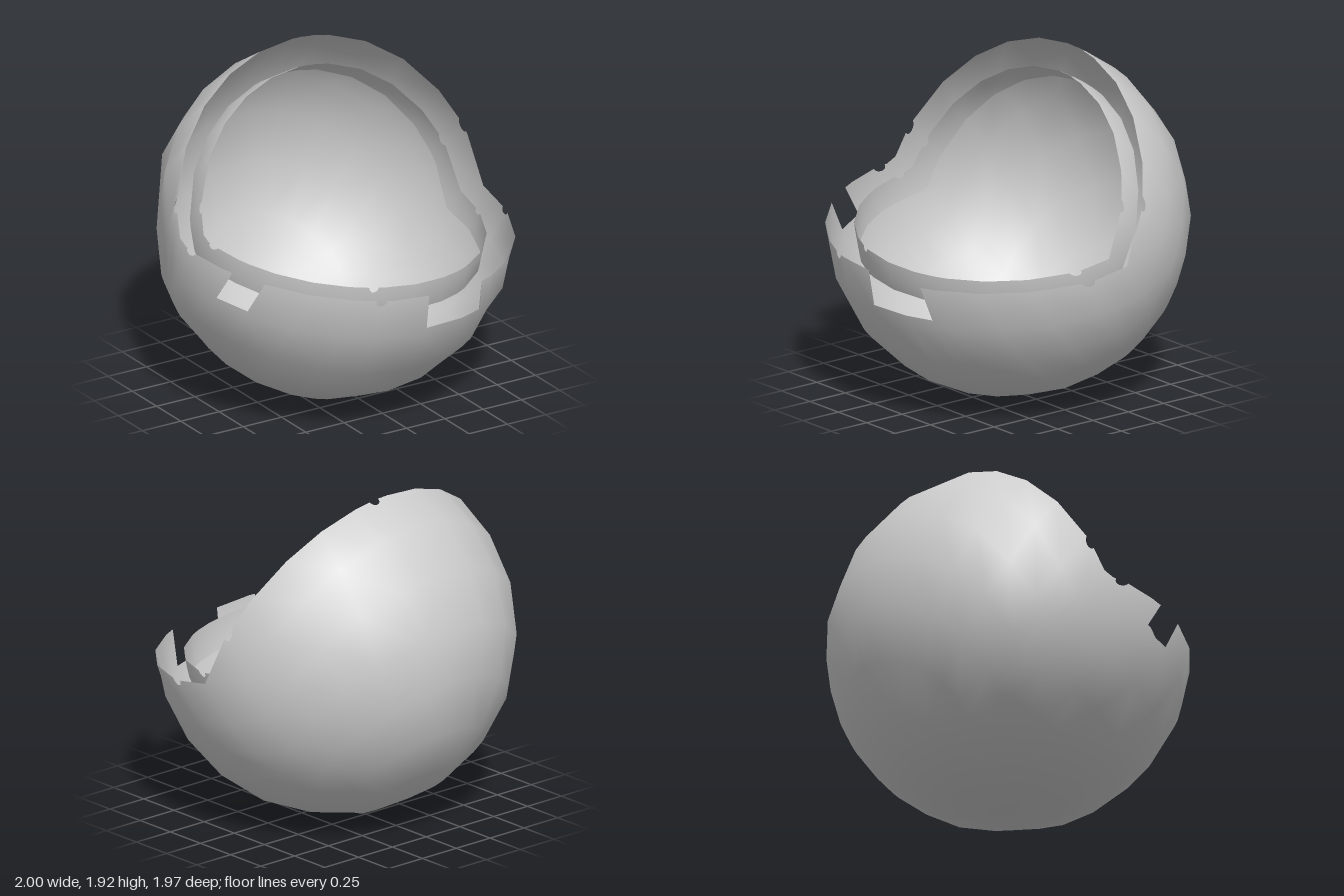
import * as THREE from 'three';

const CENTER_Y = 1, OUTER = 1.01, COLLAR = 0.85;
const rad = THREE.MathUtils.degToRad;

// Frame around the axis that looks out of the opening
const axis = new THREE.Vector3(0, Math.sin(rad(54)), Math.cos(rad(54)));
const side = new THREE.Vector3(1, 0, 0);
const up = new THREE.Vector3().crossVectors(axis, side);

// Round bites in the rims, and square notches in the outer shell (angles around the opening)
const BITES = [-177, -109.5, -13.6, 17.8, 83.7, 167.2].map(rad);
const BITE_RADIUS = 0.035;
const NOTCHES = [[-160.8, -149.8, 0.22], [-90, -65.5, 0.205]].map(([a, b, depth]) => [rad(a), rad(b), depth]);

// Slightly flattened patches of the outer ball: direction and distance
const FLATS = [
  [-0.92, 0, -0.39, 0.945],
  [0.21, -0.975, 0, 0.968],
  [-0.1, 0, -0.99, 0.972],
  [-0.8, -0.58, 0, 0.98],
  [1, 0, 0, 1],
  [-1, 0, 0, 1],
  [0, -1, 0, 1],
  [0, 0, 1, 0.985],
].map(([x, y, z, d]) => ({ n: new THREE.Vector3(x, y, z).normalize(), d }));

function point(radius, theta, phi) {
  const dir = axis.clone().multiplyScalar(Math.cos(theta))
    .addScaledVector(side, Math.sin(theta) * Math.cos(phi))
    .addScaledVector(up, Math.sin(theta) * Math.sin(phi));
  let r = radius;
  if (radius === OUTER) {
    for (const { n, d } of FLATS) {
      const k = n.dot(dir);
      if (k > 0) r = Math.min(r, d / k);
    }
  }
  const p = dir.multiplyScalar(r);
  p.y += CENTER_Y;
  return p;
}

// The opening is a wedge between a lower and an upper cutting plane
function isOpen(p) {
  return p.y > 1.0 - 0.075 * p.x - 0.12 * p.z && p.z > 0.435 - 0.049 * p.x - 0.448 * p.y;
}

// Angle from the axis at which a shell of the given radius begins
function rimAngle(radius, phi) {
  let lo = 0, hi = 2.2;
  for (let i = 0; i < 30; i++) {
    const mid = (lo + hi) / 2;
    if (isOpen(point(radius, mid, phi))) lo = mid; else hi = mid;
  }
  return lo;
}

function biteDepth(phi) {
  const bite = BITES.find((b) => Math.abs(phi - b) < BITE_RADIUS);
  return bite === undefined ? 0 : Math.sqrt(BITE_RADIUS ** 2 - (phi - bite) ** 2);
}

function notchDepth(phi) {
  const hit = NOTCHES.find(([a, b]) => phi > a && phi < b);
  return hit ? hit[2] : 0;
}

// Columns around the opening, closer together at bites and notch sides
function makeColumns() {
  const list = [rad(176.3)];
  for (let i = 0; i <= 24; i++) list.push(-Math.PI + (i / 24) * Math.PI * 2);
  for (const b of BITES) {
    for (let i = 0; i <= 8; i++) list.push(b - BITE_RADIUS * Math.cos((i / 8) * Math.PI));
  }
  for (const [a, b] of NOTCHES) {
    for (const edge of [a, b]) list.push(edge - 0.0005, edge + 0.0005);
  }
  return list.sort((a, b) => a - b);
}

// Skin a list of columns, each a list of points with the same count
function skin(columns) {
  const rows = columns[0].length;
  const pos = [], normal = [], index = [];
  for (const p of columns.flat()) {
    const n = p.clone().setY(p.y - CENTER_Y).normalize();
    pos.push(p.x, p.y, p.z);
    normal.push(n.x, n.y, n.z);
  }
  for (let i = 0; i < columns.length - 1; i++) {
    for (let j = 0; j < rows - 1; j++) {
      const a = i * rows + j, d = a + rows;
      index.push(a, a + 1, d + 1, a, d + 1, d);
    }
  }
  const geo = new THREE.BufferGeometry();
  geo.setAttribute('position', new THREE.Float32BufferAttribute(pos, 3));
  geo.setAttribute('normal', new THREE.Float32BufferAttribute(normal, 3));
  geo.setIndex(index);
  return geo;
}

// Points along a sphere from one angle to another
function meridian(radius, start, end, phi, steps) {
  return Array.from({ length: steps + 1 }, (_, i) =>
    point(radius, start + (end - start) * (i / steps), phi));
}

export function createModel() {
  const group = new THREE.Group();
  const material = new THREE.MeshStandardMaterial({ color: 0xcccccc, side: THREE.DoubleSide });
  const add = (name, geometry) => {
    const mesh = new THREE.Mesh(geometry, material);
    mesh.name = name;
    group.add(mesh);
  };
  const columns = makeColumns();

  // Thin hollow ball, its edge cut by bites and notches; the rows below the edge are even
  add('outerShell', skin(columns.map((phi) => {
    const rim = rimAngle(OUTER, phi);
    const edge = point(OUTER, rim + biteDepth(phi) + notchDepth(phi), phi);
    return [edge, ...meridian(OUTER, rim + 0.26, Math.PI, phi, 6)];
  })));

  // Free-standing band inside the mouth, with an open gap around it
  add('collar', skin(columns.map((phi) => {
    const rim = rimAngle(COLLAR, phi);
    return meridian(COLLAR, rim + biteDepth(phi), rim + 0.2, phi, 3);
  })));

  return group;
}
